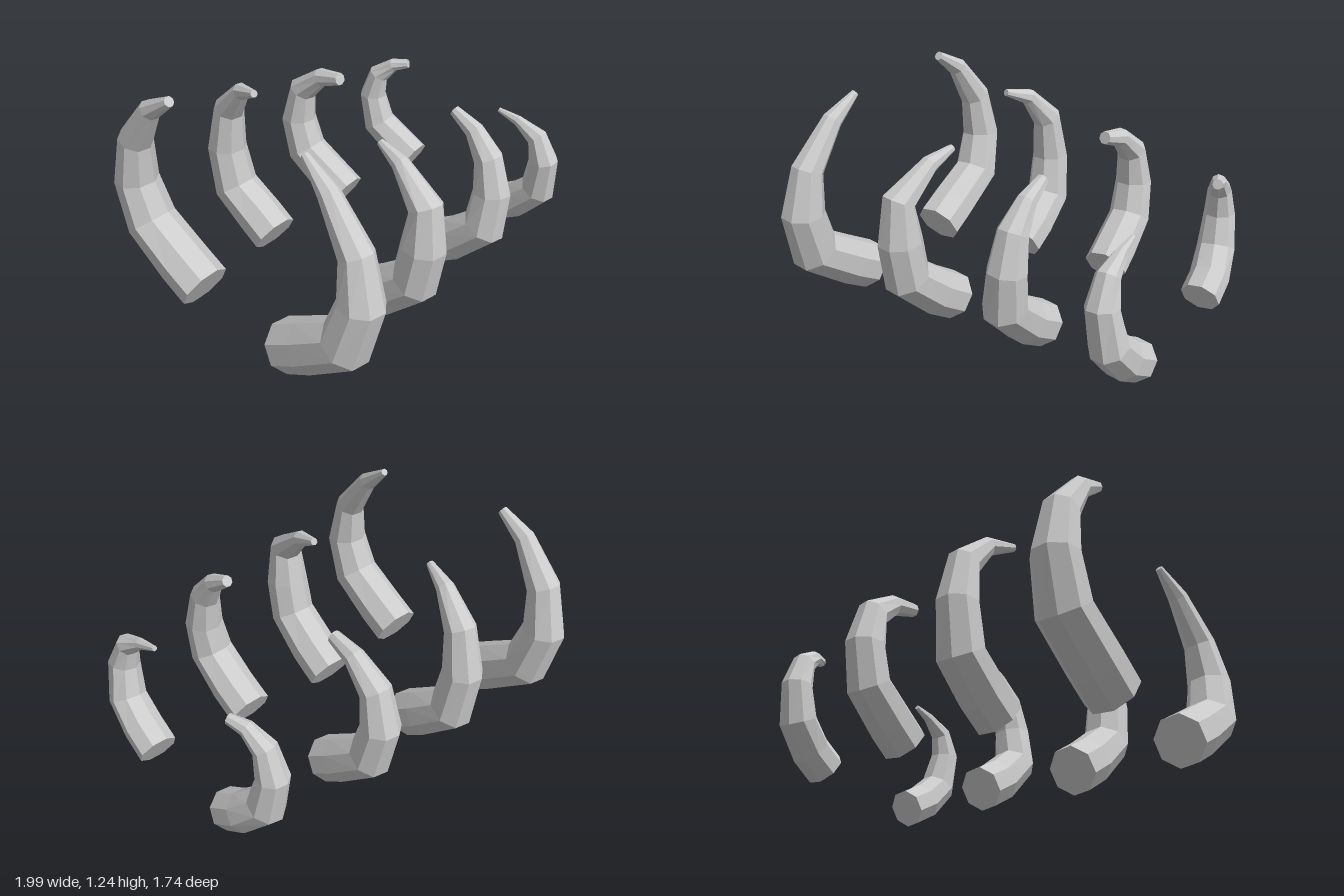
import * as THREE from 'three';

const SIDES = 8;
const TWIST = 0.28; // slight roll of the octagonal section

// Each claw: rings from root to tip as [x, height, distance from middle, radius]
const FRONT = [
  [[-0.865, 0.155, 0.305, 0.137], [-0.865, 0.235, 0.45, 0.137], [-0.865, 0.385, 0.685, 0.132], [-0.845, 0.62, 0.755, 0.115],
    [-0.83, 0.85, 0.715, 0.085], [-0.81, 1.075, 0.54, 0.053], [-0.79, 1.19, 0.385, 0.02]],
  [[-0.28, 0.115, 0.255, 0.132], [-0.28, 0.21, 0.41, 0.132], [-0.28, 0.365, 0.60, 0.125], [-0.275, 0.575, 0.64, 0.117],
    [-0.27, 0.79, 0.64, 0.088], [-0.23, 0.935, 0.45, 0.046], [-0.205, 0.985, 0.305, 0.02]],
  [[0.31, 0.135, 0.25, 0.122], [0.315, 0.22, 0.40, 0.122], [0.325, 0.37, 0.575, 0.117], [0.35, 0.57, 0.59, 0.102],
    [0.355, 0.755, 0.55, 0.08], [0.36, 0.88, 0.45, 0.052], [0.36, 0.95, 0.32, 0.03]],
  [[0.885, 0.14, 0.285, 0.107], [0.885, 0.215, 0.42, 0.107], [0.885, 0.34, 0.55, 0.1], [0.862, 0.54, 0.58, 0.083],
    [0.855, 0.67, 0.53, 0.06], [0.845, 0.735, 0.405, 0.03], [0.835, 0.765, 0.285, 0.014]],
];
const BACK = [
  [[-0.86, 0.19, 0.305, 0.137], [-0.865, 0.275, 0.45, 0.137], [-0.868, 0.43, 0.69, 0.132], [-0.88, 0.665, 0.76, 0.115],
    [-0.885, 0.91, 0.715, 0.09], [-0.89, 1.125, 0.555, 0.055], [-0.89, 1.22, 0.395, 0.027]],
  [[-0.29, 0.195, 0.385, 0.127], [-0.29, 0.27, 0.50, 0.127], [-0.30, 0.40, 0.675, 0.122], [-0.31, 0.64, 0.715, 0.107],
    [-0.31, 0.88, 0.675, 0.083], [-0.34, 1.035, 0.53, 0.047], [-0.385, 1.085, 0.38, 0.02]],
  [[0.295, 0.2, 0.39, 0.12], [0.285, 0.27, 0.50, 0.12], [0.268, 0.40, 0.68, 0.115], [0.258, 0.60, 0.73, 0.102],
    [0.26, 0.79, 0.69, 0.08], [0.265, 0.905, 0.545, 0.053], [0.26, 0.94, 0.395, 0.035]],
  [[0.89, 0.2, 0.36, 0.105], [0.88, 0.27, 0.48, 0.105], [0.845, 0.385, 0.61, 0.1], [0.832, 0.57, 0.65, 0.082],
    [0.84, 0.715, 0.61, 0.062], [0.87, 0.79, 0.52, 0.04], [0.905, 0.81, 0.435, 0.027]],
];

// Skins a row of rings set square to the centre line, with both ends capped
function clawGeometry(rings, zSign) {
  const centres = rings.map(([x, y, d]) => new THREE.Vector3(x, y, d * zSign));
  const last = centres.length - 1;
  const positions = [], index = [];
  const push = (v) => positions.push(v.x, v.y, v.z);

  centres.forEach((c, i) => {
    const along = new THREE.Vector3();
    if (i > 0) along.add(c.clone().sub(centres[i - 1]).normalize());
    if (i < last) along.add(centres[i + 1].clone().sub(c).normalize());
    along.normalize();
    const side = new THREE.Vector3(1, 0, 0).addScaledVector(along, -along.x).normalize();
    const up = along.clone().cross(side);
    for (let j = 0; j < SIDES; j++) {
      const a = (j / SIDES) * Math.PI * 2 + TWIST, r = rings[i][3];
      push(c.clone().addScaledVector(side, r * Math.cos(a)).addScaledVector(up, r * Math.sin(a)));
    }
  });
  const root = positions.length / 3, tip = root + 1;
  push(centres[0]);
  push(centres[last]);

  for (let j = 0; j < SIDES; j++) {
    const k = (j + 1) % SIDES;
    for (let i = 0; i < last; i++) {
      const a = i * SIDES + j, b = i * SIDES + k;
      index.push(a, b, b + SIDES, a, b + SIDES, a + SIDES);
    }
    index.push(root, k, j, tip, last * SIDES + j, last * SIDES + k);
  }
  const g = new THREE.BufferGeometry();
  g.setAttribute('position', new THREE.Float32BufferAttribute(positions, 3));
  g.setIndex(index);
  g.computeVertexNormals();
  return g;
}

export function createModel() {
  const model = new THREE.Group();
  model.name = 'curvedClaws';
  const material = new THREE.MeshStandardMaterial({ color: 0xcccccc, flatShading: true });

  // Two facing rows of claws, curling toward each other
  for (const [row, claws, zSign] of [['front', FRONT, 1], ['back', BACK, -1]]) {
    const group = new THREE.Group();
    group.name = `${row}Row`;
    claws.forEach((rings, i) => {
      const claw = new THREE.Mesh(clawGeometry(rings, zSign), material);
      claw.name = `${row}Claw${i + 1}`;
      group.add(claw);
    });
    model.add(group);
  }
  return model;
}
